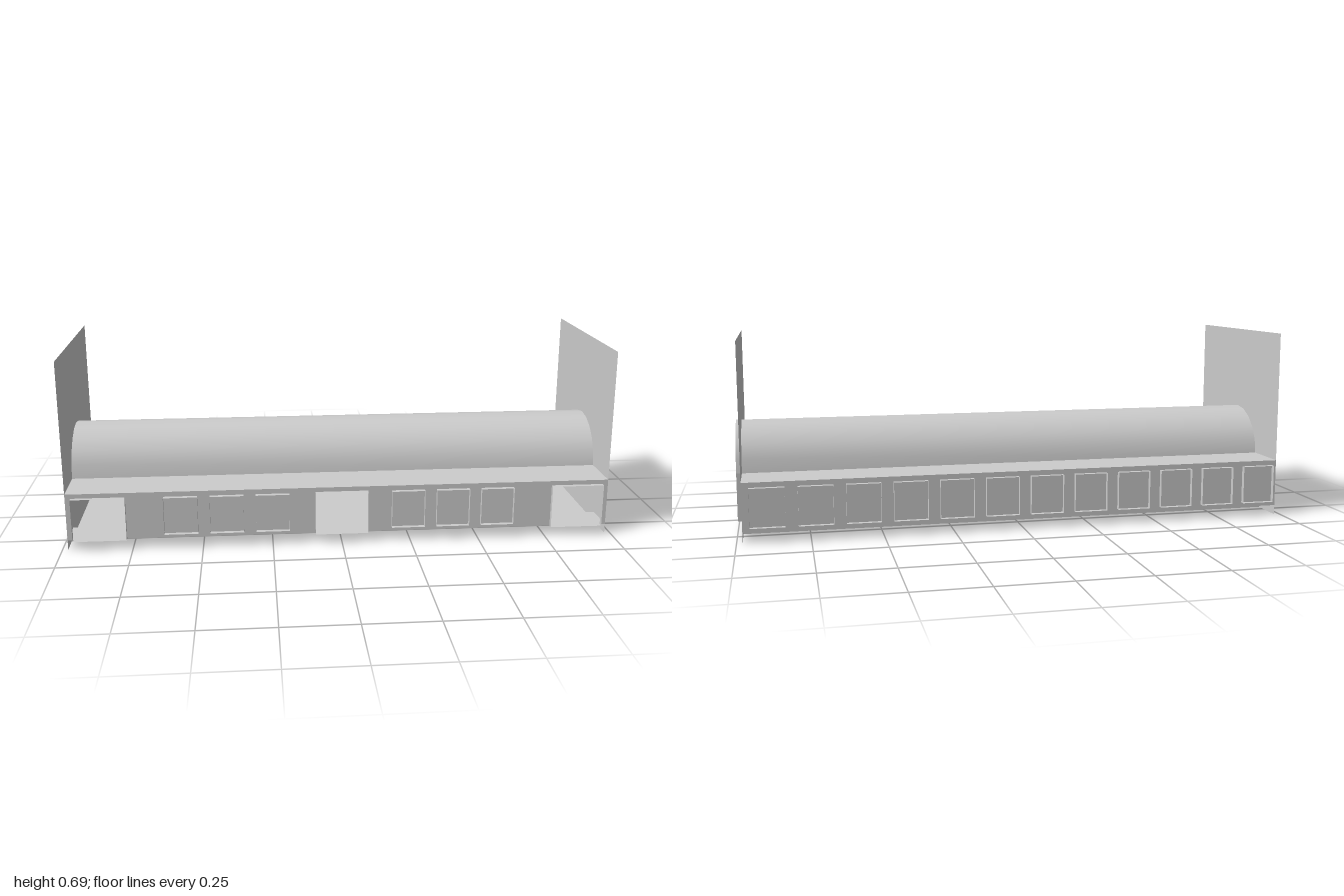
import * as THREE from 'three';

const L = 0.98, W = 0.342, FLOOR = 0.035, EAVE = 0.208, R = 0.17;

// Sheet swept along z from a to b over a 2D outline
function sheet(points, a, b, smooth = false) {
  const pos = [], idx = [];
  points.forEach(([x, y], i) => {
    pos.push(x, y, a, x, y, b);
    if (i) {
      const k = 2 * i;
      idx.push(k - 2, k, k - 1, k, k + 1, k - 1);
    }
  });
  let g = new THREE.BufferGeometry();
  g.setAttribute('position', new THREE.Float32BufferAttribute(pos, 3));
  g.setIndex(idx);
  if (!smooth) g = g.toNonIndexed();
  g.computeVertexNormals();
  return g;
}

const rect = (x0, y0, x1, y1) => [[x0, y0], [x0, y1], [x1, y1], [x1, y0], [x0, y0]];
const panel = pts => new THREE.ShapeGeometry(new THREE.Shape(pts.map(p => new THREE.Vector2(...p))));

export function createModel() {
  const model = new THREE.Group();
  const grey = new THREE.MeshStandardMaterial({ color: 0xcccccc, side: THREE.DoubleSide });
  grey.name = 'plain grey';
  const add = (name, geometry) => {
    const mesh = new THREE.Mesh(geometry, grey);
    mesh.name = name;
    model.add(mesh);
    return mesh;
  };

  // Barrel vault running through both end walls
  const arc = [];
  for (let i = 0; i <= 10; i++) {
    const t = Math.PI * i / 10;
    arc.push([-R * Math.cos(t), EAVE - 0.002 + R * Math.sin(t)]);
  }
  add('barrelVault', sheet(arc, -1, 1, true).rotateY(Math.PI / 2));

  // Platforms with the sunken track bed between them
  const bed = 0.217;
  add('platformsAndTrackBed', sheet(
    [[-W, FLOOR], [-bed, FLOOR], [-bed, 0], [bed, 0], [bed, FLOOR], [W, FLOOR]], -L, L
  ).rotateY(Math.PI / 2));

  for (const s of [-1, 1]) {
    // Flat side roofs
    add('sideRoof', sheet([[s * R, EAVE], [s * W, EAVE]], -L, L).rotateY(Math.PI / 2));

    // Tall end walls and the straight lower edge of each arched portal
    add('endWall', panel(rect(-W, 0, W, 0.685)).rotateY(Math.PI / 2)).position.x = s * L;
    add('portalRim', sheet(
      [[-R, EAVE], [-R, FLOOR], [R, FLOOR], [R, EAVE]], Math.min(s * L, s), Math.max(s * L, s)
    ).rotateY(Math.PI / 2));
  }

  // Back wall and front wall with three doorways
  add('backWall', panel(rect(-L, FLOOR, L, EAVE))).position.z = -W;
  const doors = [-0.865, 0, 0.865], half = 0.095, doorTop = 0.192;
  const outline = [[L, EAVE], [-L, EAVE], [-L, FLOOR]];
  for (const x of doors) {
    outline.push([x - half, FLOOR], [x - half, doorTop], [x + half, doorTop], [x + half, FLOOR]);
  }
  outline.push([L, FLOOR]);
  add('frontWall', panel(outline)).position.z = W;

  // Door frames
  for (const x of doors) {
    add('doorFrame', sheet(rect(x - half, FLOOR, x + half, doorTop), W, W + 0.017));
  }

  // Window frames: a full row at the back, two groups of three at the front
  for (let i = 0; i < 12; i++) {
    const x = (i - 5.5) * 0.1636 - 0.004;
    const frame = rect(x - 0.06, 0.052, x + 0.06, 0.19);
    add('backWindowFrame', sheet(frame, -W - 0.017, -W + 0.017));
    if ([2, 3, 4, 7, 8, 9].includes(i)) {
      add('frontWindowFrame', sheet(frame, W - 0.017, W + 0.017));
    }
  }
  return model;
}
